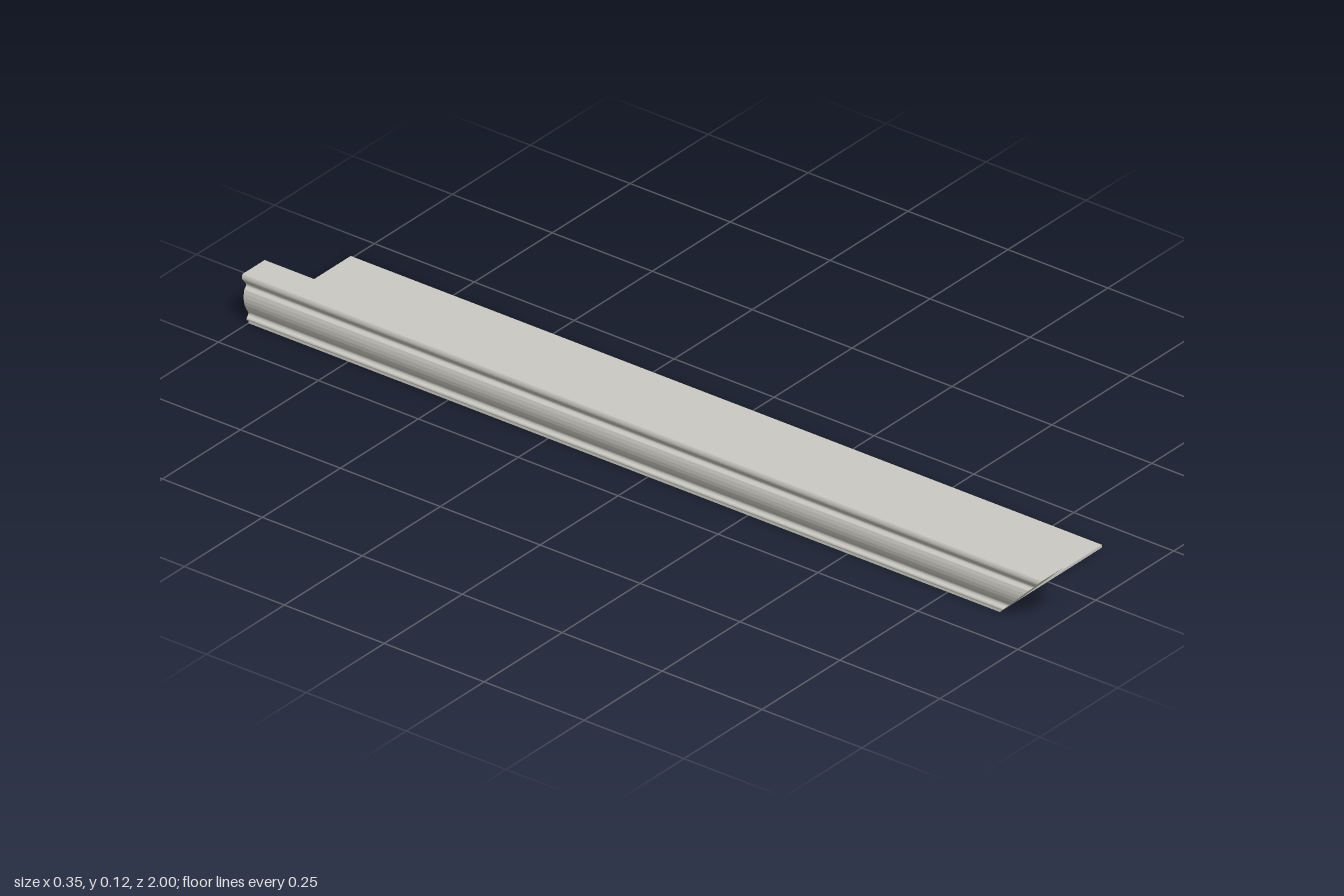
import * as THREE from 'three';

const BACK = -1, MITRE = 0.88, HEIGHT = 0.12, WALL = -0.102;

export function createModel() {
  const model = new THREE.Group();
  model.name = 'corniceMoulding';
  const stone = new THREE.MeshStandardMaterial({ color: 0xcac9c2 });
  stone.name = 'warm grey';

  // Cross-section of the trim: flat inner wall, curved outer face
  const profile = new THREE.Shape();
  profile.moveTo(WALL, 0);
  profile.lineTo(WALL, HEIGHT);
  profile.lineTo(-0.173, HEIGHT);
  profile.quadraticCurveTo(-0.176, 0.114, -0.174, 0.108);
  profile.lineTo(-0.163, 0.095);
  profile.quadraticCurveTo(-0.159, 0.09, -0.163, 0.086);
  profile.lineTo(-0.167, 0.082);
  profile.bezierCurveTo(-0.172, 0.066, -0.17, 0.046, -0.155, 0.026);
  profile.quadraticCurveTo(-0.153, 0.022, -0.156, 0.018);
  profile.quadraticCurveTo(-0.162, 0.014, -0.159, 0.009);
  profile.lineTo(-0.154, 0.006);
  profile.lineTo(-0.154, 0);
  profile.closePath();

  const trimGeometry = new THREE.ExtrudeGeometry(profile, {
    depth: MITRE - BACK, bevelEnabled: false, curveSegments: 6,
  });
  trimGeometry.translate(0, 0, BACK);

  // Cut the front end at 45 degrees, so the top reaches furthest forward
  const p = trimGeometry.attributes.position;
  for (let i = 0; i < p.count; i++) {
    if (p.getZ(i) > 0) p.setZ(i, MITRE + p.getY(i));
  }
  trimGeometry.computeVertexNormals();
  const trim = new THREE.Mesh(trimGeometry, stone);
  trim.name = 'mouldedTrim';
  model.add(trim);

  // Thin flat panel beside the trim
  const width = 0.174 - WALL, thickness = 0.006;
  const panel = new THREE.Mesh(new THREE.BoxGeometry(width, thickness, MITRE - BACK), stone);
  panel.position.set(WALL + width / 2, thickness / 2, (MITRE + BACK) / 2);
  panel.name = 'flatPanel';
  model.add(panel);

  return model;
}
